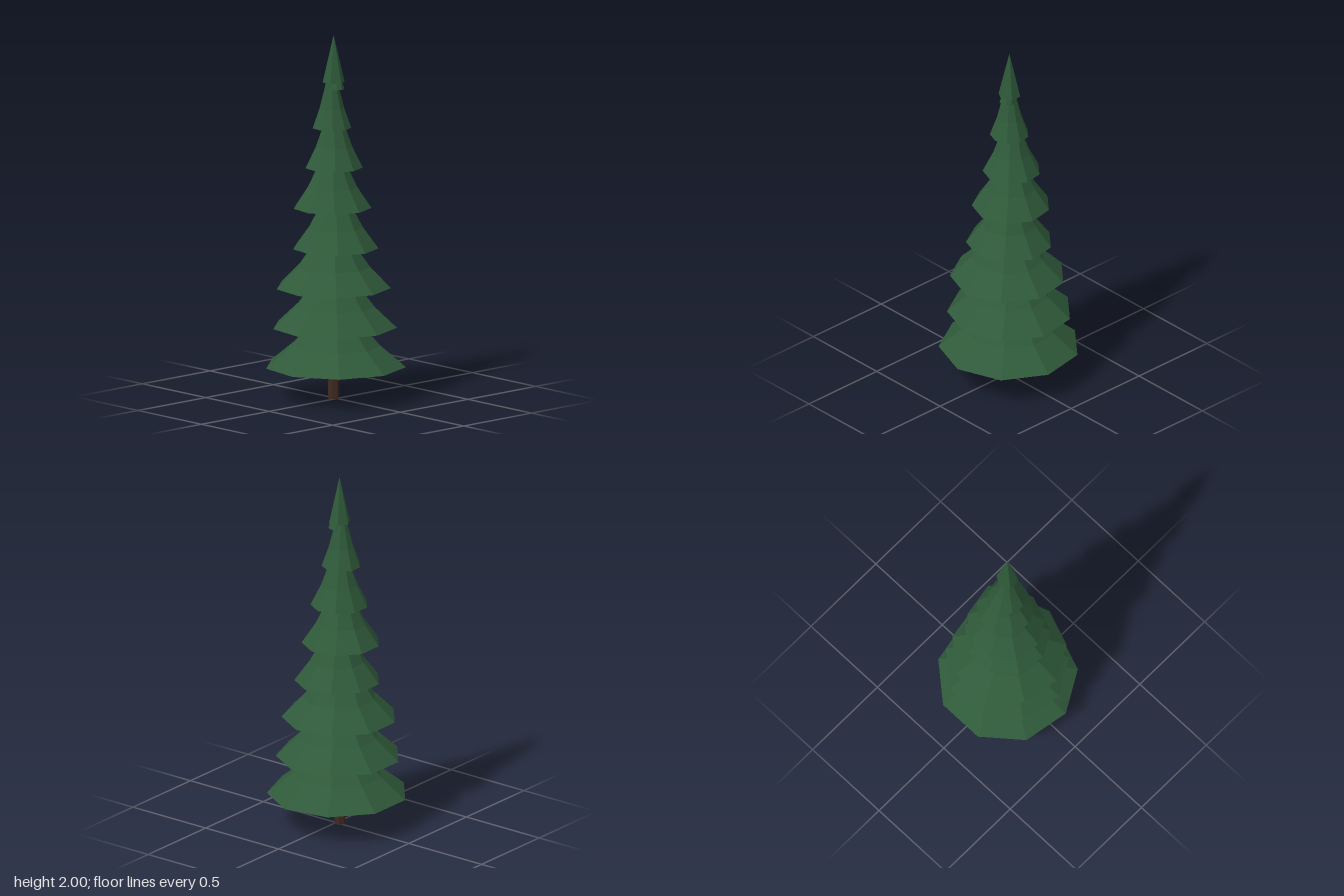
import * as THREE from 'three';

const needleGreen = new THREE.MeshStandardMaterial({ name: 'needleGreen', color: 0x2f5a3a, flatShading: true });
const barkBrown = new THREE.MeshStandardMaterial({ name: 'barkBrown', color: 0x3e2a20, flatShading: true });

// Faceted solid of revolution with one corner pointing along +x
function facetedSolid(name, profile, sides, material) {
  const points = profile.map(([r, y]) => new THREE.Vector2(r, y));
  const geometry = new THREE.LatheGeometry(points, sides, Math.PI / 2);
  const mesh = new THREE.Mesh(geometry, material);
  mesh.name = name;
  return mesh;
}

// Skirt of branches: flat underside, flared rim and a steep hidden tip
function branchTier(name, radius, height) {
  const profile = [
    [0, 0], [radius, 0], [radius * 0.64, height * 0.27],
    [radius * 0.37, height * 0.55], [0, height],
  ];
  return facetedSolid(name, profile, 9, needleGreen);
}

export function createModel() {
  const tree = new THREE.Group();
  tree.name = 'firTree';

  // Trunk, running up inside the lowest skirts
  const trunk = facetedSolid('trunk', [[0, 0], [0.031, 0], [0.024, 0.5], [0, 0.5]], 6, barkBrown);
  trunk.position.set(-0.018, 0, 0.008);
  tree.add(trunk);

  // Skirts from bottom to top: base height, radius, x offset, z offset, height
  const tiers = [
    [0.18, 0.383, -0.012, 0.0, 0.42],
    [0.395, 0.339, -0.016, 0.002, 0.42],
    [0.615, 0.313, -0.013, 0.014, 0.42],
    [0.83, 0.234, -0.011, 0.0, 0.42],
    [1.05, 0.213, -0.03, 0.006, 0.42],
    [1.27, 0.157, -0.026, -0.002, 0.42],
    [1.49, 0.106, -0.025, 0.014, 0.4],
    [1.705, 0.043, 0.0, 0.003, 0.2],
  ];
  tiers.forEach(([y, radius, x, z, height], i) => {
    const tier = branchTier(`branchTier${i + 1}`, radius, height);
    tier.position.set(x, y, z);
    tree.add(tier);
  });

  // Pointed six-sided tip
  const tip = facetedSolid('treeTip', [[0, 0], [0.061, 0], [0, 0.26]], 6, needleGreen);
  tip.position.set(-0.018, 1.74, 0.007);
  tree.add(tip);

  return tree;
}
